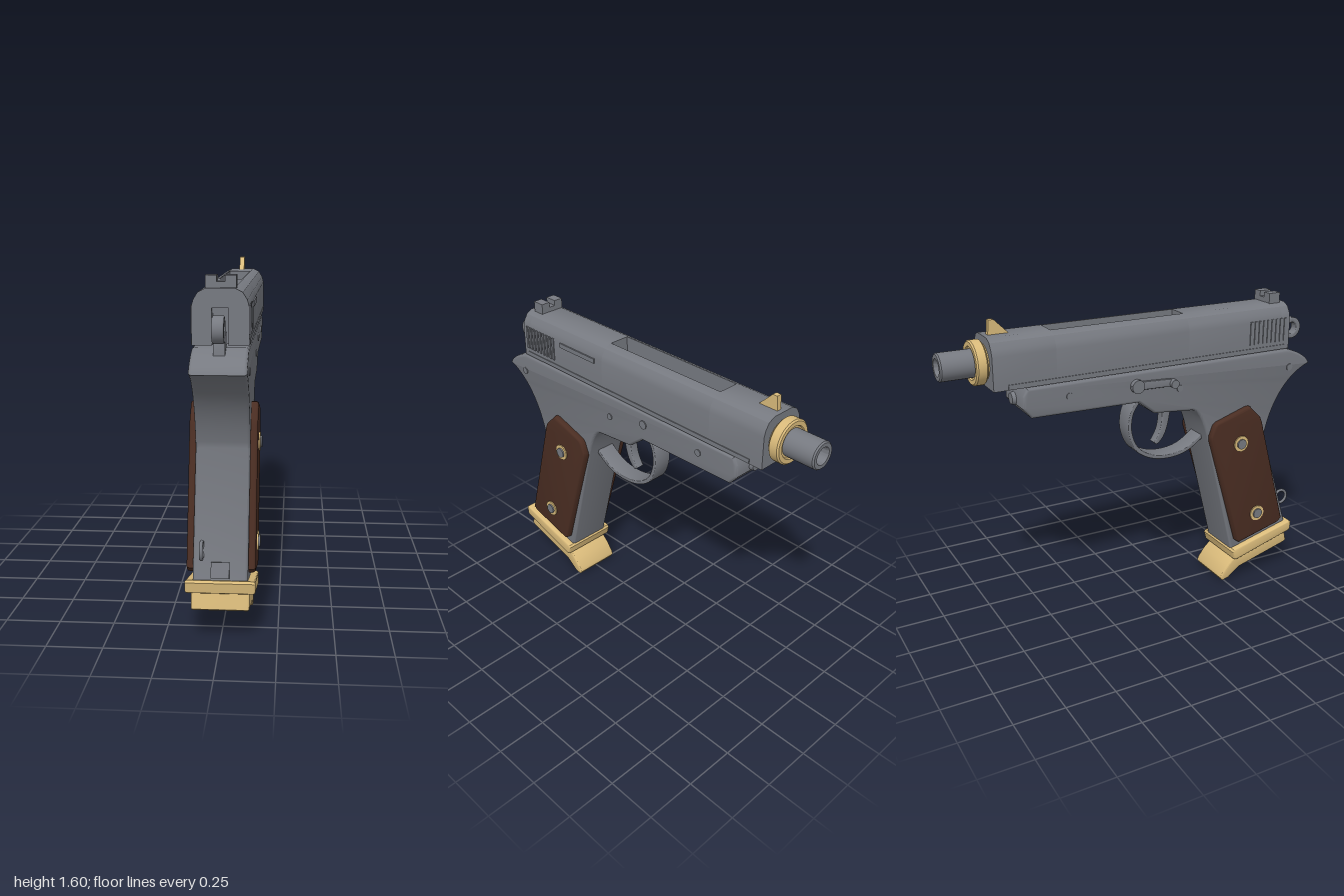
import * as THREE from 'three';
import { toCreasedNormals } from 'three/addons/utils/BufferGeometryUtils.js';

const mat = (name, color) => Object.assign(new THREE.MeshStandardMaterial({ color }), { name });

export function createModel() {
  const model = new THREE.Group();
  model.name = 'pistol';
  const steel = mat('gunmetal', 0x777a81);
  const gold = mat('brass', 0xdabb7b);
  const wood = mat('dark walnut', 0x4a2d22);

  const add = (name, geo, material, x = 0, y = 0, z = 0) => {
    const mesh = new THREE.Mesh(geo, material);
    mesh.name = name;
    mesh.position.set(x, y, z);
    model.add(mesh);
    return mesh;
  };
  const box = (name, material, w, h, d, x, y, z) => add(name, new THREE.BoxGeometry(w, h, d), material, x, y, z);
  const shapeOf = (pts) => new THREE.Shape(pts.map(([a, b]) => new THREE.Vector2(a, b)));

  // Side profile in (z, y), extruded across x and centred on x
  const side = (name, shape, width, material, x = 0, bevel = 0) => {
    const geo = new THREE.ExtrudeGeometry(shape, {
      depth: width - 2 * bevel, curveSegments: 16, bevelEnabled: bevel > 0,
      bevelSize: bevel, bevelThickness: bevel, bevelOffset: -bevel, bevelSegments: 3,
    });
    geo.translate(0, 0, bevel - width / 2).rotateY(-Math.PI / 2);
    return add(name, toCreasedNormals(geo, 0.6), material, x);
  };
  // Cross-section in (x, y), extruded from z0 to z1
  const run = (name, shape, z0, z1, material) => {
    const geo = new THREE.ExtrudeGeometry(shape, { depth: z1 - z0, bevelEnabled: false });
    return add(name, toCreasedNormals(geo, 0.5), material, 0, 0, z0);
  };
  // Disc with its axis along x
  const disc = (name, r, h, material, x, y, z, n = 20) =>
    add(name, new THREE.CylinderGeometry(r, r, h, n).rotateZ(Math.PI / 2), material, x, y, z);

  // Frame with grip, tang and dust cover
  const frame = new THREE.Shape();
  frame.moveTo(1.0, 1.195);
  frame.bezierCurveTo(0.98, 1.24, 0.91, 1.27, 0.85, 1.288);
  [[-0.62, 1.288], [-0.642, 1.25], [-0.642, 1.19], [-0.6, 1.14], [-0.04, 1.13], [0.05, 1.06], [0.27, 1.04]]
    .forEach(([z, y]) => frame.lineTo(z, y));
  frame.quadraticCurveTo(0.325, 1.03, 0.37, 0.86);
  frame.lineTo(0.545, 0.17);
  frame.lineTo(0.905, 0.27);
  frame.lineTo(0.73, 0.83);
  frame.bezierCurveTo(0.76, 0.98, 0.84, 1.14, 1.0, 1.195);
  side('frame', frame, 0.24, steel, 0, 0.014);

  // Slide: plain ends, open-topped middle, hammer slot at the rear
  const low = [[-0.12, 1.295], [0.12, 1.295], [0.12, 1.455], [0.112, 1.485], [0.093, 1.515], [0.06, 1.532]];
  const high = [[-0.06, 1.532], [-0.093, 1.515], [-0.112, 1.485], [-0.12, 1.455]];
  const full = [...low, ...high];
  run('slideFront', shapeOf(full), -0.78, -0.47, steel);
  run('slideEjectionSection', shapeOf([...low, [0.053, 1.532], [0.053, 1.455], [-0.053, 1.455], [-0.053, 1.532], ...high]),
    -0.47, 0.24, steel);
  run('slideBack', shapeOf(full), 0.24, 0.8, steel);
  run('slideRear', shapeOf([[-0.12, 1.295], [-0.035, 1.295], [-0.035, 1.45], [0.035, 1.45], [0.035, 1.295], ...low.slice(1), ...high]),
    0.8, 0.85, steel);
  for (const s of [-1, 1]) {
    box('slideRail', steel, 0.006, 0.022, 1.53, s * 0.121, 1.309, 0.055);
    for (let i = 0; i < 9; i++) box('serration', steel, 0.01, 0.12, 0.013, s * 0.12, 1.4, 0.61 + i * 0.0262);
  }
  box('extractor', steel, 0.02, 0.024, 0.26, 0.117, 1.442, 0.42);

  // Sights
  box('rearSightBase', steel, 0.13, 0.03, 0.065, 0, 1.541, 0.785);
  for (const s of [-1, 1]) box('rearSightPost', steel, 0.048, 0.03, 0.065, s * 0.041, 1.568, 0.785);
  side('frontSight', shapeOf([[-0.65, 1.525], [-0.725, 1.6], [-0.75, 1.6], [-0.757, 1.525]]), 0.026, gold);

  // Barrel and collar, turned about the bore; lathe y points towards -z
  const lathe = (name, pts, material) => {
    const geo = new THREE.LatheGeometry(pts.map(([r, d]) => new THREE.Vector2(r, d)), 40).rotateX(-Math.PI / 2);
    add(name, toCreasedNormals(geo, 0.6), material, 0, 1.41, 0);
  };
  lathe('barrel', [[0.066, 0.74], [0.066, 0.993], [0.06, 1.0], [0.042, 1.0], [0.038, 0.99], [0.038, 0.82], [0, 0.82]], steel);
  lathe('barrelCollar', [[0.06, 0.775], [0.085, 0.775], [0.085, 0.79], [0.098, 0.79], [0.105, 0.797],
    [0.105, 0.838], [0.098, 0.845], [0.078, 0.845], [0.074, 0.838], [0.06, 0.838]], gold);

  // Recoil spring cap below the barrel
  add('springCap', new THREE.CylinderGeometry(0.027, 0.035, 0.024, 20).rotateX(-Math.PI / 2), steel, 0, 1.215, -0.648);

  // Hammer
  const spur = new THREE.Shape().absarc(0.942, 1.372, 0.057, 0, Math.PI * 2, false);
  spur.holes.push(new THREE.Path().absarc(0.942, 1.372, 0.03, 0, Math.PI * 2, true));
  side('hammerRing', spur, 0.05, steel, 0, 0.006);
  side('hammerBody', shapeOf([[0.8, 1.26], [0.918, 1.26], [0.915, 1.33], [0.89, 1.365], [0.8, 1.34]]), 0.05, steel);

  // Trigger guard: a band swept along a curve
  const guard = new THREE.SplineCurve([[0, 1.12], [-0.045, 1.05], [-0.052, 0.95], [-0.01, 0.855], [0.08, 0.8],
    [0.19, 0.786], [0.29, 0.808], [0.39, 0.875]].map((p) => new THREE.Vector2(...p)));
  const outer = [], inner = [];
  for (let i = 0; i <= 36; i++) {
    const p = guard.getPoint(i / 36), t = guard.getTangent(i / 36);
    outer.push([p.x + t.y * 0.011, p.y - t.x * 0.011]);
    inner.unshift([p.x - t.y * 0.011, p.y + t.x * 0.011]);
  }
  side('triggerGuard', shapeOf([...outer, ...inner]), 0.1, steel, 0, 0.004);

  // Trigger
  const trigger = new THREE.Shape();
  trigger.moveTo(0.2, 1.07);
  trigger.lineTo(0.145, 1.07);
  trigger.bezierCurveTo(0.15, 0.96, 0.14, 0.92, 0.1, 0.865);
  trigger.lineTo(0.115, 0.852);
  trigger.bezierCurveTo(0.17, 0.88, 0.185, 0.95, 0.2, 1.07);
  side('trigger', trigger, 0.05, steel, 0, 0.005);

  // Grip panels with screws, and frame pins
  const panel = shapeOf([[0.61, 1.015], [0.585, 1.012], [0.405, 0.955], [0.39, 0.94], [0.37, 0.885], [0.372, 0.86],
    [0.555, 0.245], [0.575, 0.23], [0.835, 0.298], [0.856, 0.32], [0.688, 0.92], [0.675, 0.95]]);
  for (const s of [-1, 1]) {
    side('gripPanel', panel, 0.045, wood, s * 0.129, 0.012);
    for (const [z, y] of [[0.555, 0.82], [0.68, 0.39]]) {
      disc('screwWasher', 0.044, 0.02, gold, s * 0.148, y, z, 12);
      disc('screwHead', 0.027, 0.03, steel, s * 0.151, y, z);
    }
    for (const [z, y, r] of [[0.865, 1.19, 0.018], [0.19, 1.172, 0.017], [-0.05, 1.222, 0.022], [-0.41, 1.222, 0.017]])
      disc('framePin', r, 0.012, steel, s * 0.119, y, z);
  }

  // Slide stop lever on one side
  side('slideStopLever', shapeOf([[0.17, 1.185], [0.17, 1.215], [0.13, 1.232], [-0.07, 1.242], [-0.09, 1.225], [-0.07, 1.2], [0.1, 1.195]]),
    0.02, steel, -0.126, 0.004);
  disc('leverPivot', 0.034, 0.035, steel, -0.128, 1.22, -0.055);
  disc('leverThumb', 0.022, 0.045, steel, -0.133, 1.208, 0.145);

  // Lanyard ring and lug at the heel
  add('lanyardRing', new THREE.TorusGeometry(0.038, 0.008, 10, 28).rotateY(Math.PI / 2), steel, -0.08, 0.415, 0.892);
  box('heelCatch', steel, 0.08, 0.07, 0.05, 0, 0.322, 0.88).rotation.x = -0.29;

  // Grip collar and magazine floor plate
  side('gripCollar', shapeOf([[0.915, 0.287], [0.926, 0.278], [0.921, 0.232], [0.91, 0.226], [0.56, 0.126], [0.546, 0.133],
    [0.534, 0.178], [0.543, 0.19]]), 0.306, gold, 0, 0.01);
  side('floorPlate', shapeOf([[0.9, 0.228], [0.917, 0.155], [0.905, 0.146], [0.6, 0.062], [0.53, 0.01], [0.49, 0],
    [0.478, 0.018], [0.482, 0.036], [0.52, 0.088], [0.565, 0.13]]), 0.254, gold, 0, 0.008);

  return model;
}
